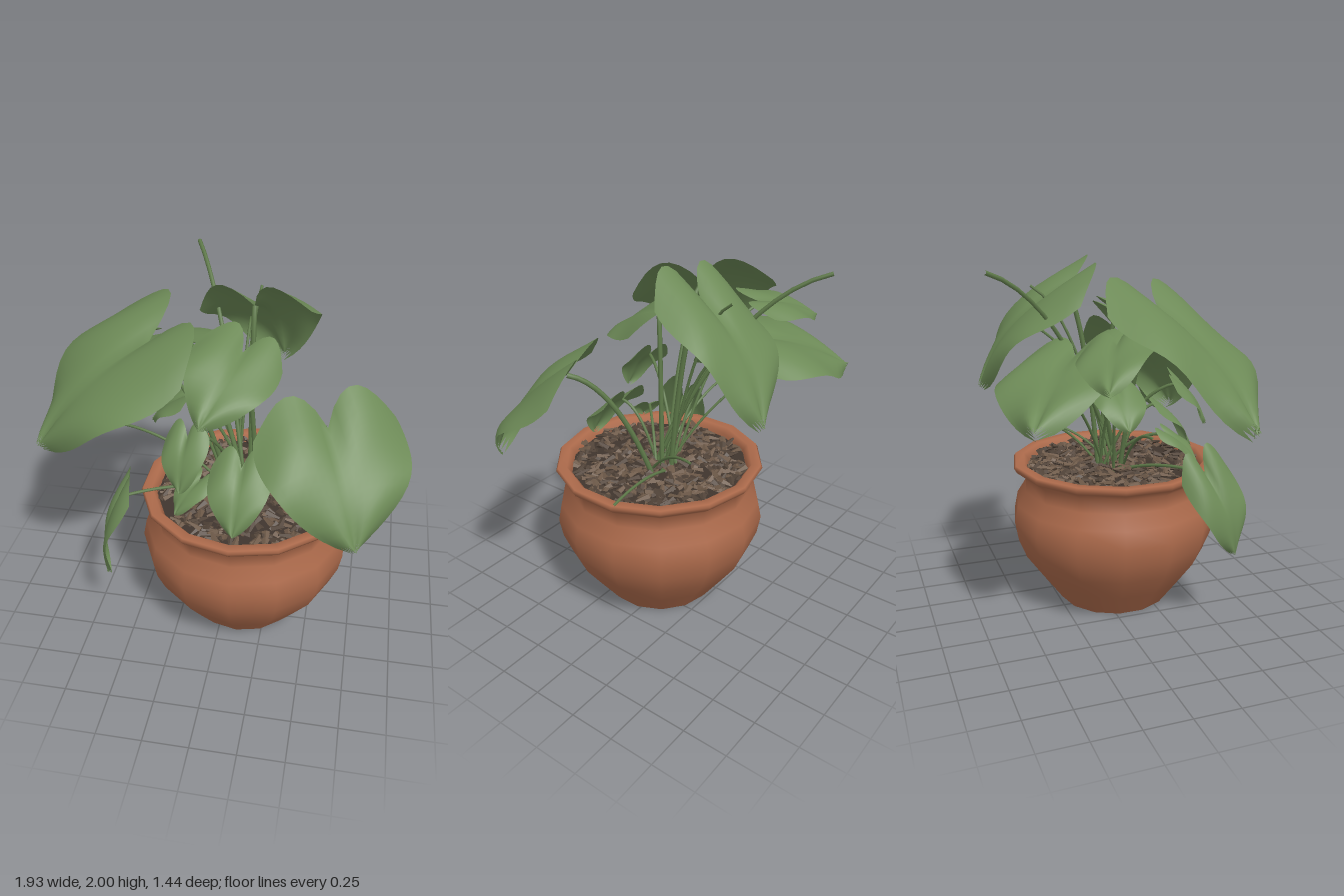
import * as THREE from 'three';
import { mergeGeometries } from 'three/addons/utils/BufferGeometryUtils.js';

const PX = 0.105, PZ = 0.09; // pot axis
const V = (a) => new THREE.Vector3(...a);

const mat = (name, color, side = THREE.FrontSide) => {
  const m = new THREE.MeshStandardMaterial({ color, side });
  m.name = name;
  return m;
};

// Heart-shaped blade from its notch to its tip; side gives the cross direction
function leafGeometry(base, tip, side, half, arch) {
  const rows = 14, cols = 16, pos = [], idx = [];
  const b = V(base), along = V(tip).sub(b), len = along.length();
  const dir = along.clone().normalize();
  const s = V(side).addScaledVector(dir, -V(side).dot(dir)).normalize();
  const n = dir.clone().cross(s);
  for (let i = 0; i <= rows; i++) {
    const t = i / rows;
    const w = half * 1.12 * Math.pow(1 - t, 0.9) * (0.85 + 1.2 * t);
    for (let j = 0; j <= cols; j++) {
      const v = (j / cols) * 2 - 1, a = Math.abs(v);
      const back = 0.3 * Math.sin(Math.PI * Math.pow(a, 0.85)) * (1 - t) ** 2;
      const lift = arch * Math.sin(Math.PI * t) * len
        + half * (0.22 * a - 0.3 * a * a) + half * 0.05 * Math.sin(t * 9 + v * 3) * a;
      const p = b.clone().addScaledVector(dir, (t - back) * len)
        .addScaledVector(s, v * w).addScaledVector(n, lift);
      pos.push(p.x, p.y, p.z);
      if (i < rows && j < cols) {
        const k = i * (cols + 1) + j, d = k + cols + 1;
        idx.push(k, d, k + 1);
        if (i < rows - 1) idx.push(k + 1, d, d + 1);
      }
    }
  }
  const g = new THREE.BufferGeometry();
  g.setAttribute('position', new THREE.Float32BufferAttribute(pos, 3));
  g.setIndex(idx);
  g.computeVertexNormals();
  return g;
}

// Arching stem from the soil to an end point
function stemGeometry(end, r, k) {
  const e = V(end), ang = k * 2.4;
  const start = new THREE.Vector3(0.1 + 0.06 * Math.cos(ang) + e.x * 0.1, 0.8, 0.06 + 0.06 * Math.sin(ang));
  const mid = start.clone().lerp(e, 0.45);
  mid.y = 0.8 + (e.y - 0.8) * 0.85 + 0.03;
  return new THREE.TubeGeometry(new THREE.QuadraticBezierCurve3(start, mid, e), 14, r, 6);
}

export function createModel() {
  const root = new THREE.Group();
  root.name = 'pottedPlant';
  const terracotta = mat('terracotta', 0xac6a4b);
  const leafGreen = mat('leafGreen', 0x6d8a57, THREE.DoubleSide);
  const stemGreen = mat('stemGreen', 0x5f7a4a);
  const soilBrown = mat('soilBrown', 0x40352e);
  const barks = [mat('barkBrown', 0x6e5a49), mat('darkBark', 0x524439)];
  const add = (name, geo, m) => {
    const mesh = new THREE.Mesh(geo, m);
    mesh.name = name;
    root.add(mesh);
    return mesh;
  };

  // Pot
  const profile = [
    [0.32, 0], [0.43, 0.15], [0.53, 0.29], [0.575, 0.4], [0.595, 0.51], [0.575, 0.61], [0.525, 0.69],
    [0.525, 0.77], [0.575, 0.81], [0.59, 0.835], [0.58, 0.85], [0.53, 0.85], [0.505, 0.82], [0.5, 0.76],
  ].map(([x, y]) => new THREE.Vector2(x, y));
  add('pot', new THREE.LatheGeometry(profile, 14), terracotta).position.set(PX, 0, PZ);
  const bottom = add('potBottom', new THREE.CircleGeometry(0.32, 14, Math.PI / 2), terracotta);
  bottom.rotation.x = Math.PI / 2;
  bottom.position.set(PX, 0, PZ);

  // Soil with bark chips
  const soil = add('soil', new THREE.CircleGeometry(0.52, 14), soilBrown);
  soil.rotation.x = -Math.PI / 2;
  soil.position.set(PX, 0.8, PZ);
  let seed = 7;
  const rnd = () => (seed = (seed * 16807) % 2147483647) / 2147483647;
  const chips = [[], []];
  for (let i = 0; i < 520; i++) {
    const g = new THREE.CylinderGeometry(0.008, 0.022, 0.05 + 0.035 * rnd(), 4).toNonIndexed();
    g.scale(1, 1, 0.6);
    g.rotateX(Math.PI / 2 + (rnd() - 0.5) * 0.9);
    g.rotateY(rnd() * 6.28);
    const r = 0.48 * Math.sqrt(rnd()), a = rnd() * 6.28;
    g.translate(PX + r * Math.cos(a), 0.805 + 0.03 * rnd(), PZ + r * Math.sin(a));
    g.computeVertexNormals();
    chips[i % 2].push(g);
  }
  chips.forEach((list, i) => add(i ? 'darkBarkChips' : 'barkChips', mergeGeometries(list), barks[i]));

  // Leaves: name, notch, tip, cross direction, half width, arch
  const leaves = [
    ['rightFrontLeaf', [0.55, 1.44, 0.34], [0.74, 0.97, 0.71], [0.64, -0.02, -0.3], 0.4, 0.12],
    ['largeSideLeaf', [-0.39, 1.74, 0.16], [-0.94, 1.22, 0.44], [0.29, -0.15, 0.58], 0.42, 0.1],
    ['topBackLeaf', [0.1, 1.82, -0.18], [0.22, 1.29, -0.65], [-1, 0, 0], 0.32, 0.14],
    ['backSideLeaf', [-0.27, 1.53, -0.25], [-0.78, 1.28, -0.6], [-0.4, 0.12, 0.55], 0.36, 0.08],
    ['outerSideLeaf', [-0.56, 1.63, -0.13], [-0.94, 1.48, -0.3], [-0.3, 0.1, 0.5], 0.19, 0.08],
    ['centreLeaf', [0.08, 1.69, 0.1], [-0.07, 1.46, 0.5], [0.8, -0.33, 0.3], 0.24, 0.1],
    ['lowFrontLeaf', [0.12, 1.14, 0.34], [0.11, 0.86, 0.58], [1, 0, 0.1], 0.17, 0.1],
    ['middleFrontLeaf', [-0.16, 1.32, 0.36], [-0.17, 1.08, 0.54], [1, 0.1, 0.3], 0.13, 0.1],
    ['smallFrontLeaf', [-0.11, 1.02, 0.33], [-0.22, 0.88, 0.47], [0.9, 0.2, 0.4], 0.1, 0.1],
    ['hangingLeaf', [-0.51, 0.91, 0.38], [-0.6, 0.46, 0.53], [0.25, 0, 1], 0.16, 0.14],
    ['innerSideLeaf', [-0.26, 1.32, -0.02], [-0.45, 1.15, -0.02], [0, 0, 1], 0.14, 0.1],
  ];
  leaves.forEach(([name, base, tip, side, half, arch], k) => {
    add(name, leafGeometry(base, tip, side, half, arch), leafGreen);
    add(name + 'Stem', stemGeometry(base, half > 0.2 ? 0.014 : 0.009, k), stemGreen);
  });

  // Bare stems
  [
    [-0.3, 1.96, -0.7], [0.11, 1.85, -0.38], [-0.39, 1.39, -0.43], [-0.6, 1.15, 0.05],
    [0.72, 0.9, -0.1], [0.33, 1.03, -0.3], [0.05, 1.65, -0.4],
  ].forEach((end, k) => add('bareStem', stemGeometry(end, k === 0 ? 0.012 : 0.008, k + 3), stemGreen));

  return root;
}
